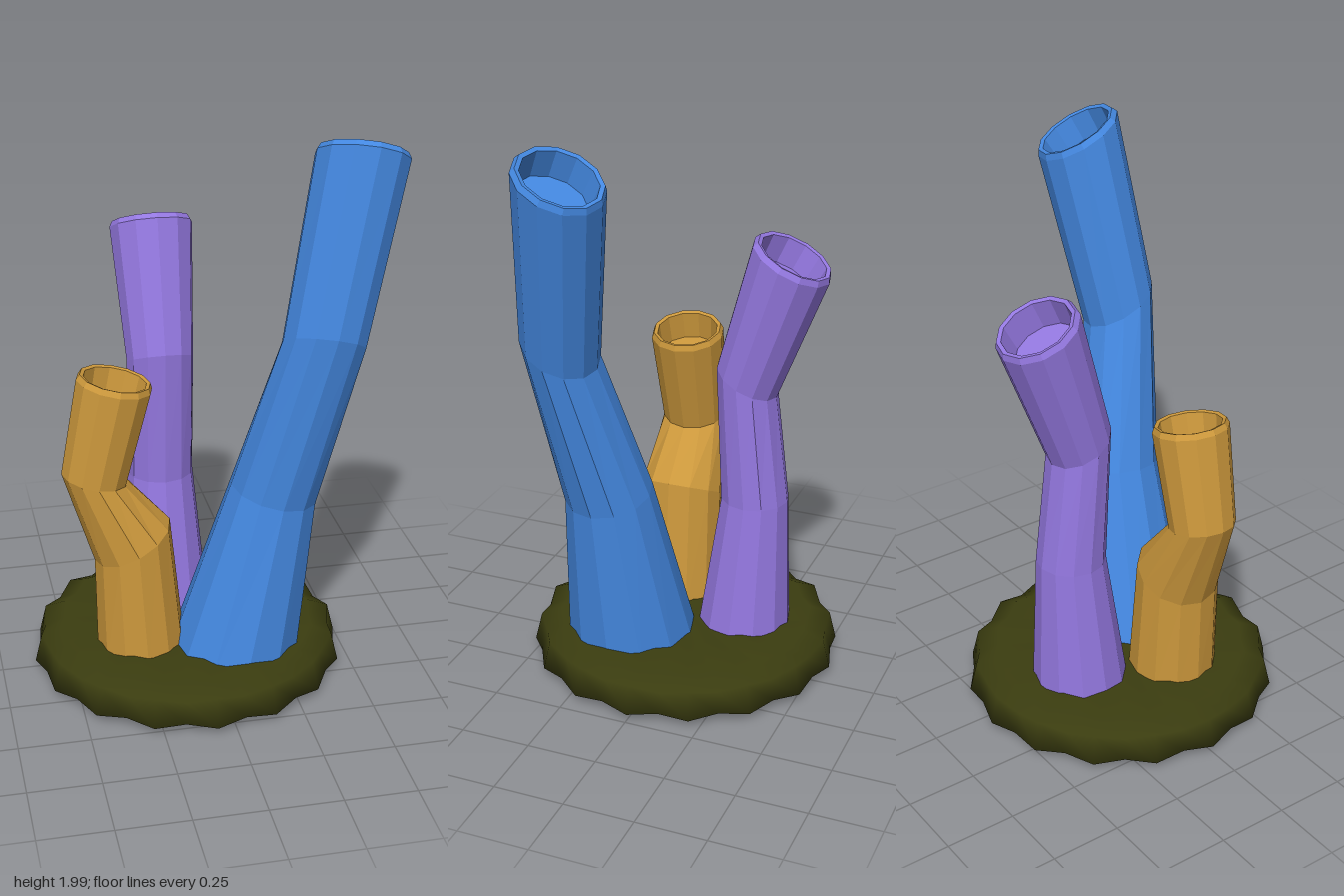
import * as THREE from 'three';
import { mergeVertices } from 'three/addons/utils/BufferGeometryUtils.js';

const SIDES = 12;

// Skin a loop of rings; each ring is { c: centre, n: tilt normal, r: radius }
function skinRings(rings) {
  const pos = [], idx = [];
  for (const { c, n, r } of rings) {
    const v = new THREE.Vector3(0, 0, 1).addScaledVector(n, -n.z).normalize();
    const u = new THREE.Vector3().crossVectors(n, v);
    for (let i = 0; i < SIDES; i++) {
      const a = (i / SIDES) * Math.PI * 2;
      const p = c.clone().addScaledVector(u, Math.cos(a) * r).addScaledVector(v, Math.sin(a) * r);
      pos.push(p.x, p.y, p.z);
    }
  }
  for (let k = 0; k < rings.length - 1; k++) {
    for (let i = 0; i < SIDES; i++) {
      const j = (i + 1) % SIDES;
      const a = k * SIDES + i, b = k * SIDES + j, d = a + SIDES, e = b + SIDES;
      idx.push(a, d, b, b, d, e);
    }
  }
  const g = new THREE.BufferGeometry();
  g.setAttribute('position', new THREE.Float32BufferAttribute(pos, 3));
  g.setIndex(idx);
  g.computeVertexNormals();
  return g;
}

// Bent tube with a bevelled rim and a shallow recessed mouth
// stations: [x, y, z, radius, normalX, normalZ]
function tube(name, color, stations) {
  const rings = stations.map(([x, y, z, r, nx, nz]) => ({
    c: new THREE.Vector3(x, y, z), n: new THREE.Vector3(nx, 1, nz).normalize(), r,
  }));
  const top = rings[rings.length - 1];
  const mouth = [[0.012, 0.93], [0.008, 0.83], [-0.09, 0.78], [-0.09, 0]];
  for (const [h, s] of mouth) {
    rings.push({ c: top.c.clone().addScaledVector(top.n, h - 0.012), n: top.n, r: top.r * s });
  }
  top.c = top.c.clone().addScaledVector(top.n, -0.02);
  const mesh = new THREE.Mesh(skinRings(rings),
    new THREE.MeshStandardMaterial({ color, flatShading: true, side: THREE.DoubleSide }));
  mesh.name = name;
  return mesh;
}

// Low mound with a scalloped, rippled edge
function moundBase() {
  const profile = [[0, 0.015], [0.25, 0.01], [0.47, 0.005], [0.56, 0.03], [0.535, 0.125],
    [0.46, 0.155], [0.25, 0.15], [0, 0.15]].map(([r, y]) => new THREE.Vector2(r, y));
  let g = new THREE.LatheGeometry(profile, 32);
  const p = g.attributes.position, rows = profile.length;
  for (let i = 0; i < p.count; i++) {
    const notch = Math.floor(i / rows) % 2, row = i % rows;
    const edge = Math.hypot(p.getX(i), p.getZ(i)) / 0.56;
    const s = notch ? 1 - 0.035 * edge * edge : 1;
    const dy = notch ? (row < 4 ? 0.012 : -0.012) : (row < 4 ? 0 : 0.008);
    p.setXYZ(i, p.getX(i) * s, p.getY(i) + dy * edge, p.getZ(i) * s);
  }
  g.deleteAttribute('normal');
  g.deleteAttribute('uv');
  g = mergeVertices(g, 1e-4);
  g.computeVertexNormals();
  const mesh = new THREE.Mesh(g, new THREE.MeshStandardMaterial({ color: 0x3b3d10 }));
  mesh.name = 'base';
  mesh.position.x = -0.07;
  return mesh;
}

export function createModel() {
  const group = new THREE.Group();
  group.name = 'tubeCoral';
  group.add(
    moundBase(),
    tube('tallTube', 0x4488e0, [
      [0.07, 0.1, 0.15, 0.235, 0, 0],
      [0.205, 0.73, 0.18, 0.155, 0.23, 0.07],
      [0.342, 1.3, 0.285, 0.142, 0.22, -0.5],
      [0.48, 1.93, 0.2, 0.158, 0.23, -0.49],
    ]),
    tube('middleTube', 0x9478e0, [
      [-0.12, 0.1, -0.21, 0.172, 0, 0],
      [-0.12, 0.64, -0.245, 0.122, 0, 0],
      [-0.12, 1.09, -0.21, 0.12, 0, -0.5],
      [-0.12, 1.56, -0.37, 0.148, 0, -0.5],
    ]),
    tube('shortTube', 0xcc983c, [
      [-0.255, 0.1, 0.1, 0.158, 0, 0],
      [-0.282, 0.545, 0.1, 0.15, -0.5, 0],
      [-0.41, 0.8, 0.1, 0.116, 0.2, 0],
      [-0.33, 1.16, 0.1, 0.132, 0.21, 0],
    ]),
  );
  return group;
}
